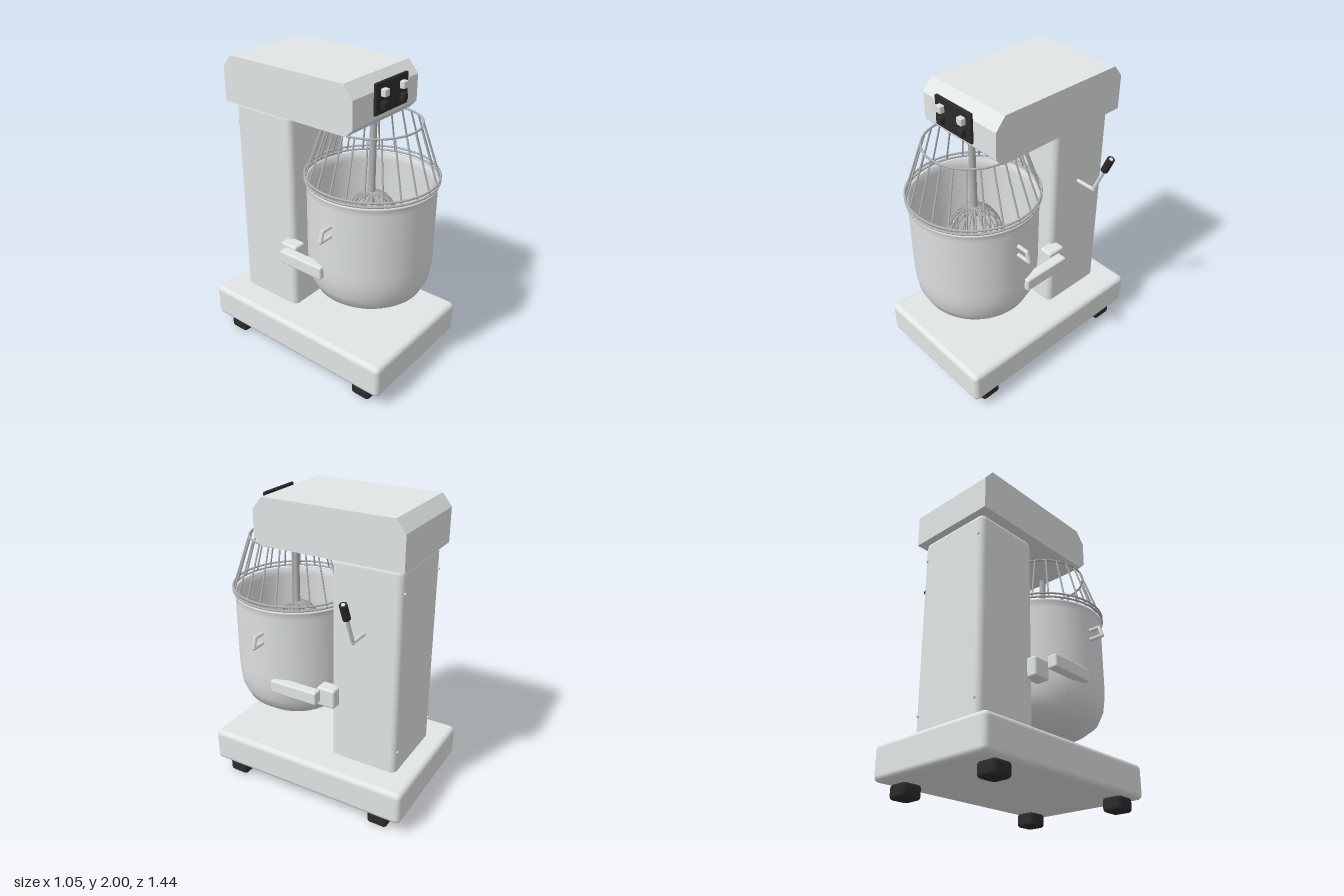
import * as THREE from 'three';
import { RoundedBoxGeometry } from 'three/addons/geometries/RoundedBoxGeometry.js';

export function createModel() {
  const mat = (name, color, side = THREE.FrontSide) => {
    const m = new THREE.MeshStandardMaterial({ color, side });
    m.name = name;
    return m;
  };
  const paint = mat('grey enamel', 0xe1e5e5);
  const steel = mat('bowl steel', 0xdcdfe1, THREE.DoubleSide);
  const wire = mat('wire steel', 0xb0b3b5);
  const black = mat('black plastic', 0x2b2b2b);
  const V = (x, y, z) => new THREE.Vector3(x, y, z);

  const model = new THREE.Group();
  model.name = 'planetaryMixer';
  // Everything is laid out around the machine's own centre line.
  const body = new THREE.Group();
  body.name = 'machine';
  body.position.set(-0.0155, 0, -0.003);
  model.add(body);

  const add = (name, geo, material, parent = body) => {
    const m = new THREE.Mesh(geo, material);
    m.name = name;
    parent.add(m);
    return m;
  };
  // Rounded box given by its lower and upper limits
  const box = (name, [x0, x1], [y0, y1], [z0, z1], r, material) => {
    const m = add(name, new RoundedBoxGeometry(x1 - x0, y1 - y0, z1 - z0, 3, r), material);
    m.position.set((x0 + x1) / 2, (y0 + y1) / 2, (z0 + z1) / 2);
    return m;
  };
  // Straight round bar between two points
  const rod = (name, a, b, r, material, parent = body, sides = 8) => {
    const m = add(name, new THREE.CylinderGeometry(r, r, a.distanceTo(b), sides), material, parent);
    m.position.copy(a).lerp(b, 0.5);
    m.quaternion.setFromUnitVectors(V(0, 1, 0), b.clone().sub(a).normalize());
    return m;
  };
  const ring = (name, radius, y, r, parent) => {
    const m = add(name, new THREE.TorusGeometry(radius, r, 8, 64), wire, parent);
    m.rotation.x = Math.PI / 2;
    m.position.y = y;
  };

  // Base, column and feet
  box('base', [-0.457, 0.457], [0.09, 0.32], [-0.72, 0.712], 0.035, paint);
  box('column', [-0.267, 0.267], [0.28, 1.7], [-0.588, -0.122], 0.04, paint);
  for (const x of [-0.358, 0.358])
    for (const z of [-0.548, 0.553])
      box('foot', [x - 0.07, x + 0.07], [0, 0.095], [z - 0.07, z + 0.07], 0.025, black);

  // Motor head: side profile swept across the width
  const profile = [[0.34, 1.7], [0.388, 1.75], [0.388, 1.92], [0.32, 2],
    [-0.552, 2], [-0.615, 1.922], [-0.615, 1.7]];
  const head = new THREE.ExtrudeGeometry(
    new THREE.Shape(profile.map(([z, y]) => new THREE.Vector2(-z, y))),
    { depth: 0.634, bevelEnabled: false });
  head.rotateY(Math.PI / 2).translate(-0.317, 0, 0);
  add('motorHead', head, paint);

  // Control panel with two light and two dark buttons
  box('controlPanel', [-0.157, 0.157], [1.791, 1.981], [0.406, 0.427], 0.008, black);
  for (const x of [-0.092, 0.092]) {
    box('lightButton', [x - 0.022, x + 0.022], [1.897, 1.943], [0.42, 0.458], 0.006, steel);
    box('darkButton', [x - 0.022, x + 0.022], [1.823, 1.869], [0.42, 0.458], 0.006, black);
  }

  // Bowl, with wall thickness and a rolled rim
  const bowl = new THREE.Group();
  bowl.name = 'bowlAssembly';
  bowl.position.z = 0.301;
  body.add(bowl);
  const outline = [[0, 0.494], [0.15, 0.496], [0.21, 0.508], [0.275, 0.535], [0.35, 0.592],
    [0.387, 0.67], [0.4, 0.76], [0.403, 0.84], [0.403, 1.27], [0.406, 1.3], [0.412, 1.31],
    [0.412, 1.322], [0.392, 1.322], [0.387, 1.27], [0.386, 0.81], [0.372, 0.68], [0.335, 0.6],
    [0.265, 0.55], [0.14, 0.512], [0, 0.51]];
  add('bowl', new THREE.LatheGeometry(outline.map(p => new THREE.Vector2(...p)), 64), steel, bowl);

  // Bowl handles, support arms and column brackets, mirrored
  for (const s of [-1, 1]) {
    const pts = [V(0.395 * s, 1.155, 0), V(0.475 * s, 1.155, 0), V(0.495 * s, 1.09, 0), V(0.395 * s, 1.09, 0)];
    for (let i = 0; i < 3; i++) {
      rod('bowlHandle', pts[i], pts[i + 1], 0.013, steel, bowl);
      if (i) add('handleBend', new THREE.SphereGeometry(0.013, 8, 6), steel, bowl).position.copy(pts[i]);
    }
    const span = (a, b) => s > 0 ? [a, b] : [-b, -a];
    box('bowlArm', span(0.358, 0.428), [0.76, 0.848], [-0.1, 0.238], 0.012, paint);
    box('armBracket', span(0.235, 0.333), [0.705, 0.838], [-0.18, -0.05], 0.016, paint);
  }

  // Wire guard
  const guard = new THREE.Group();
  guard.name = 'wireGuard';
  bowl.add(guard);
  ring('lowerRing', 0.414, 1.336, 0.007, guard);
  ring('middleRing', 0.414, 1.362, 0.007, guard);
  ring('upperRing', 0.292, 1.695, 0.007, guard);
  for (let i = 0; i < 24; i++) {
    const a = i * Math.PI / 12, x = Math.sin(a), z = Math.cos(a);
    rod('guardBar', V(x * 0.415, 1.336, z * 0.415), V(x * 0.292, 1.695, z * 0.292), 0.006, wire, guard, 6);
  }

  // Drive shaft and balloon whisk
  rod('driveShaft', V(0, 1.16, 0), V(0, 1.72, 0), 0.022, wire, bowl, 16);
  for (let i = 0; i < 10; i++) {
    const a = i * Math.PI / 10;
    const half = [[0.02, 1.23], [0.09, 1.2], [0.155, 1.11], [0.185, 0.97], [0.17, 0.8], [0.1, 0.66]];
    const at = (r, y) => V(r * Math.sin(a), y, r * Math.cos(a));
    const loop = [...half.map(([r, y]) => at(r, y)), at(0, 0.62), ...half.reverse().map(([r, y]) => at(-r, y))];
    add('whiskWire', new THREE.TubeGeometry(new THREE.CatmullRomCurve3(loop), 36, 0.006, 5), wire, bowl);
  }

  // Lift lever on the left side; the arm runs through the grip
  const elbow = V(0.4, 1.255, -0.347), neck = V(0.474, 1.435, -0.347), tip = V(0.515, 1.535, -0.347);
  rod('leverShaft', V(0.25, 1.255, -0.347), elbow, 0.013, steel);
  rod('leverArm', elbow, tip.clone().lerp(neck, -0.03), 0.013, steel);
  add('leverElbow', new THREE.SphereGeometry(0.015, 10, 8), steel).position.copy(elbow);
  rod('leverGrip', neck, tip, 0.025, black, body, 12);

  // Rear cover screws
  for (const x of [-0.236, 0.236])
    for (const y of [0.47, 1.55])
      rod('coverScrew', V(x, y, -0.57), V(x, y, -0.596), 0.008, steel);

  return model;
}
